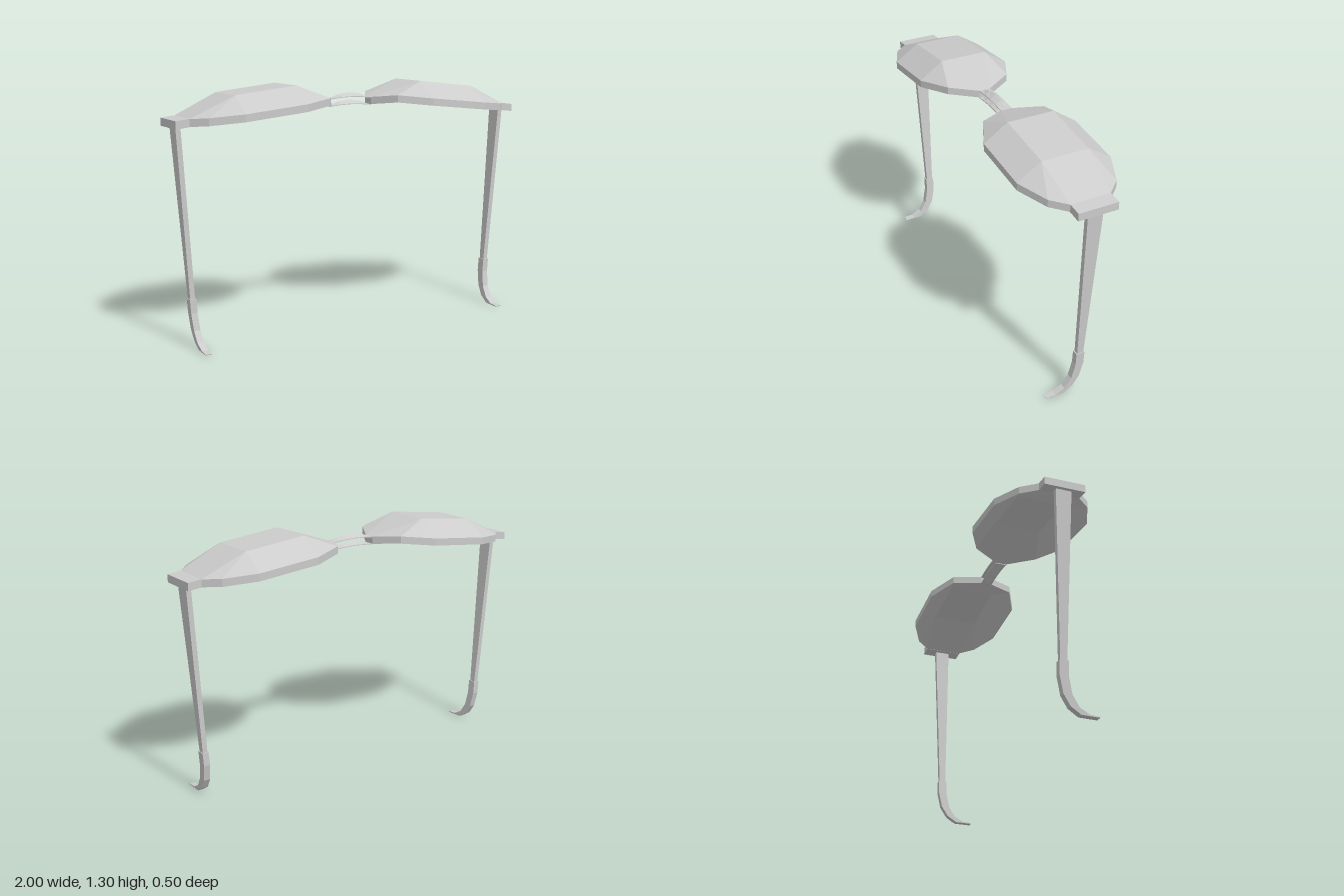
import * as THREE from 'three';

const material = new THREE.MeshStandardMaterial({ color: 0xcccccc, flatShading: true });

// Closed loft through rings of [x, y, z] points; quads split along the shorter diagonal.
function loft(name, rings, side = 1) {
  const R = rings.map(r => r.map(([x, y, z]) => new THREE.Vector3(x * side, y, z)));
  const n = R[0].length;
  const tris = [];
  for (let i = 0; i < R.length - 1; i++) {
    for (let j = 0; j < n; j++) {
      const k = (j + 1) % n;
      const a = R[i][j], b = R[i][k], c = R[i + 1][k], d = R[i + 1][j];
      if (a.distanceTo(c) <= b.distanceTo(d)) tris.push([a, b, c], [a, c, d]);
      else tris.push([a, b, d], [b, c, d]);
    }
  }
  const first = R[0], last = R[R.length - 1];
  for (let j = 1; j < n - 1; j++) {
    tris.push([first[0], first[j + 1], first[j]], [last[0], last[j], last[j + 1]]);
  }
  // Turn the faces outward, also for mirrored parts
  const tmp = new THREE.Vector3();
  const volume = tris.reduce((v, [a, b, c]) => v + a.dot(tmp.crossVectors(b, c)), 0);
  const points = [];
  for (const [a, b, c] of tris) {
    if (tmp.subVectors(b, a).cross(c.clone().sub(a)).length() < 1e-9) continue;
    points.push(...(volume > 0 ? [a, b, c] : [a, c, b]));
  }
  const geometry = new THREE.BufferGeometry().setFromPoints(points);
  geometry.computeVertexNormals();
  const mesh = new THREE.Mesh(geometry, material);
  mesh.name = name;
  return mesh;
}

// Domed shell section: rim and crease heights, with a vertical thickness
const shellRing = (x, zRim, yRim, zCrease, yCrease, t = 0.038) => {
  const top = [[x, yRim, zRim], [x, yCrease, zCrease], [x, yCrease, -zCrease], [x, yRim, -zRim]];
  return [...top, ...top.map(([px, py, pz]) => [px, py - t, pz]).reverse()];
};

// Horizontal section of a temple arm; it leans inward toward the tip
const armRing = (y, z0, z1, half, y1 = y) => {
  const x = 0.888 + 0.07 * y;
  return [[x - half, y, z0], [x + half, y, z0], [x + half, y1, z1], [x - half, y1, z1]];
};

export function createModel() {
  const group = new THREE.Group();
  group.name = 'glasses';

  for (const side of [1, -1]) {
    const prefix = side > 0 ? 'left' : 'right';

    // Faceted hollow lens
    group.add(loft(prefix + 'Lens', [
      shellRing(0.12, 0.03, 1.22, 0.03, 1.22),
      shellRing(0.20, 0.17, 1.235, 0.06, 1.246),
      shellRing(0.37, 0.25, 1.217, 0.125, 1.302),
      shellRing(0.70, 0.25, 1.183, 0.125, 1.265),
      shellRing(0.86, 0.18, 1.166, 0.111, 1.191),
      shellRing(0.93, 0.105, 1.159, 0.105, 1.159),
    ], side));

    // End piece joining lens and arm
    const endRing = (x, y) => [
      [x, y, 0.105], [x, y, -0.105], [x, y - 0.04, -0.105], [x, y - 0.04, 0.105],
    ];
    group.add(loft(prefix + 'EndPiece', [endRing(0.93, 1.16), endRing(1, 1.152)], side));

    // Tapering arm
    group.add(loft(prefix + 'Arm', [
      armRing(1.125, -0.04, 0.042, 0.013),
      armRing(0.24, -0.016, 0.018, 0.013),
    ], side));

    // Curved ear tip
    group.add(loft(prefix + 'EarTip', [
      armRing(0.247, -0.021, 0.024, 0.017),
      armRing(0.176, -0.021, 0.024, 0.017),
      armRing(0.09, -0.003, 0.041, 0.017),
      armRing(0.035, 0.032, 0.076, 0.017),
      armRing(0.002, 0.083, 0.124, 0.017, 0.009),
      armRing(0, 0.175, 0.176, 0.017, 0.004),
    ], side));
  }

  // Two thin arched strips form the bridge
  const bridge = new THREE.Group();
  bridge.name = 'bridge';
  const arch = [[-0.12, 1.22, 1.22], [-0.06, 1.226, 1.24], [0, 1.228, 1.247],
    [0.06, 1.226, 1.24], [0.12, 1.22, 1.22]];
  for (const [name, drop] of [['upperBridgeStrip', 0], ['lowerBridgeStrip', 0.038]]) {
    bridge.add(loft(name, arch.map(([x, edge, mid]) => {
      const top = [[x, edge - drop, 0.03], [x, mid - drop, 0], [x, edge - drop, -0.03]];
      return [...top, ...top.map(([px, py, pz]) => [px, py - 0.004, pz]).reverse()];
    })));
  }
  group.add(bridge);
  return group;
}
